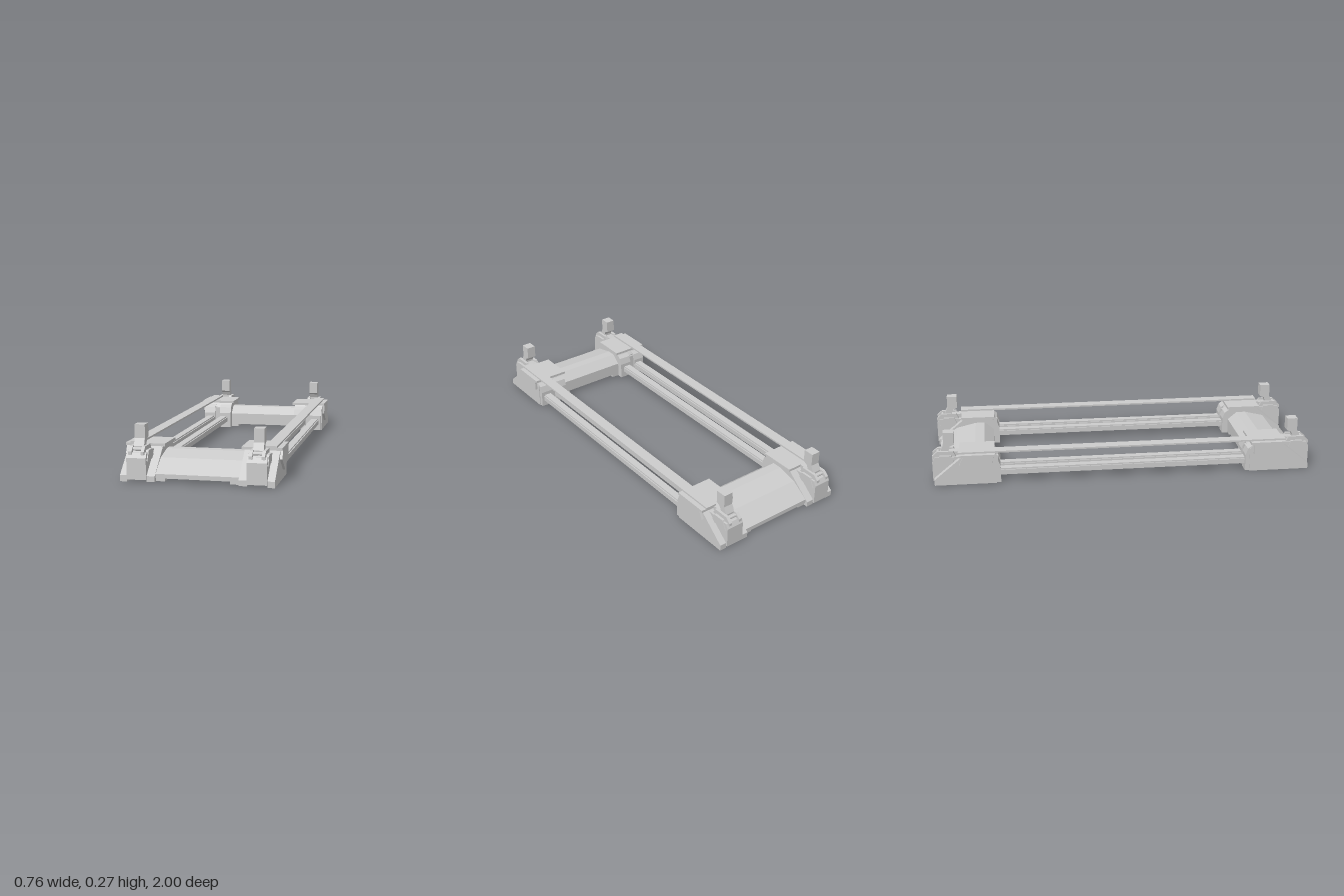
import * as THREE from 'three';

const material = new THREE.MeshStandardMaterial({ color: 0xcccccc, flatShading: true });

// Extrudes a (z, y) outline along x between x0 and x1
function slab(name, x0, x1, outline, sx = 1, sz = 1) {
  const shape = new THREE.Shape(outline.map(([z, y]) => new THREE.Vector2(z * sz, y)));
  const geometry = new THREE.ExtrudeGeometry(shape, { depth: x1 - x0, bevelEnabled: false });
  geometry.rotateY(-Math.PI / 2);
  geometry.translate(Math.max(x0 * sx, x1 * sx), 0, 0);
  const mesh = new THREE.Mesh(geometry, material);
  mesh.name = name;
  return mesh;
}

const rect = (z0, z1, y0, y1) => [[z0, y0], [z1, y0], [z1, y1], [z0, y1]];

// One corner: foot block, clamp and upright post
function corner(sx, sz) {
  const group = new THREE.Group();
  group.name = `${sz > 0 ? 'front' : 'back'}${sx > 0 ? 'Left' : 'Right'}Corner`;
  const add = (name, x0, x1, outline) => group.add(slab(name, x0, x1, outline, sx, sz));

  // Sloped housing with a raised base on its inner half
  const housing = (y) => [[0.67, y], [0.99, y], [0.99, 0.03], [0.845, 0.15], [0.69, 0.15], [0.67, 0.125]];
  add('housingOuter', 0.335, 0.37, housing(0));
  add('housingMiddle', 0.24, 0.335, housing(0.012));
  add('housingInner', 0.2, 0.24, housing(0.003));
  add('footRunner', 0.255, 0.335, rect(0.67, 0.95, 0.002, 0.02));
  add('innerFoot', 0.157, 0.2, rect(0.68, 0.97, 0.004, 0.022));

  // Rail socket on the inward face
  const socket = [[0.648, 0.002], [0.68, 0.002], [0.68, 0.14], [0.66, 0.125], [0.648, 0.09]];
  add('railSocketInner', 0.2, 0.27, socket);
  add('railSocketOuter', 0.3, 0.366, socket);
  add('railSocketWeb', 0.27, 0.3, rect(0.66, 0.68, 0.012, 0.12));

  // Raised angular panel on the outside
  add('sidePanel', 0.37, 0.382, [[0.86, 0.11], [0.775, 0.045], [0.69, 0.1], [0.69, 0.15], [0.84, 0.15]]);

  // Top cover
  add('topCover', 0.187, 0.382, rect(0.675, 0.86, 0.15, 0.163));

  // Clamp: body, stepped cap, cheeks, hinge pin
  add('clampBody', 0.24, 0.335, [[0.86, 0.012], [0.998, 0.012], [0.998, 0.115], [0.985, 0.14], [0.86, 0.14]]);
  for (const x of [0.249, 0.309]) {
    add('clampCheek', x, x + 0.016, [[0.87, 0.13], [0.998, 0.13], [0.998, 0.145], [0.972, 0.168], [0.89, 0.168]]);
  }
  add('clampTongue', 0.265, 0.309, [[0.86, 0.13], [0.99, 0.13], [0.96, 0.155], [0.86, 0.163]]);
  for (const x of [0.236, 0.325]) {
    add('clampRib', x, x + 0.013, [[0.88, 0.1], [0.985, 0.1], [0.96, 0.148], [0.9, 0.148]]);
  }
  const pin = new THREE.Mesh(new THREE.CylinderGeometry(0.009, 0.009, 0.07, 10), material);
  pin.name = 'hingePin';
  pin.rotation.z = Math.PI / 2;
  pin.position.set(0.287 * sx, 0.153, 0.968 * sz);
  group.add(pin);

  // Cranked post with a square head
  add('post', 0.261, 0.311, [[0.915, 0.14], [0.955, 0.14], [0.955, 0.165], [0.938, 0.2],
    [0.938, 0.266], [0.883, 0.266], [0.883, 0.2], [0.905, 0.19], [0.915, 0.17]]);
  return group;
}

export function createModel() {
  const model = new THREE.Group();
  model.name = 'railFrame';

  for (const sz of [1, -1]) {
    // Faceted beam across each end
    const end = sz > 0 ? 'front' : 'back';
    model.add(slab(`${end}CrossBeam`, -0.2, 0.2, [[0.68, 0.019], [0.977, 0.019], [0.977, 0.04],
      [0.885, 0.102], [0.78, 0.127], [0.73, 0.127], [0.68, 0.085]], 1, sz));
    for (const sx of [1, -1]) model.add(corner(sx, sz));
  }

  for (const sx of [1, -1]) {
    // Twin lower rails with chamfered tops, and the flat strip above
    for (const x of [0.22, 0.302]) {
      model.add(slab('lowerRail', x, x + 0.05, rect(-0.67, 0.67, 0.038, 0.064), sx));
      model.add(slab('railCap', x + 0.006, x + 0.044, rect(-0.67, 0.67, 0.064, 0.071), sx));
    }
    model.add(slab('upperStrip', 0.3, 0.357, rect(-0.865, 0.865, 0.163, 0.172), sx));
  }
  return model;
}
